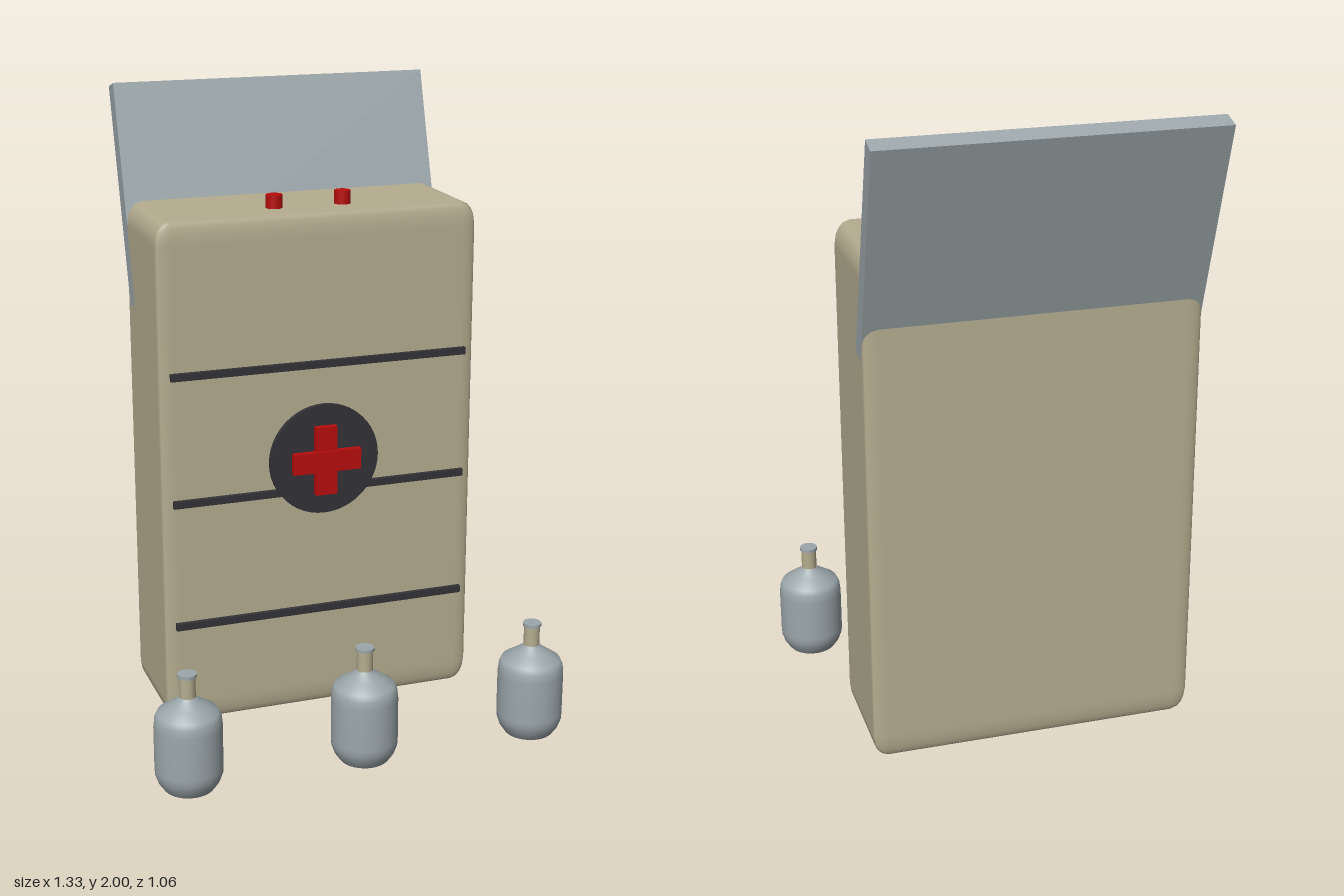
import * as THREE from 'three';
import { RoundedBoxGeometry } from 'three/addons/geometries/RoundedBoxGeometry.js';

const material = (name, color) => {
  const m = new THREE.MeshStandardMaterial({ color });
  m.name = name;
  return m;
};

export function createModel() {
  const canvas = material('khaki', 0xb5ad90);
  const steel = material('blueGrey', 0x9ca7ab);
  const dark = material('charcoal', 0x333338);
  const red = material('red', 0xb80d0d);

  const model = new THREE.Group();
  model.name = 'medicalPack';

  const add = (name, geometry, mat, x, y, z, parent = model) => {
    const mesh = new THREE.Mesh(geometry, mat);
    mesh.name = name;
    mesh.position.set(x, y, z);
    parent.add(mesh);
    return mesh;
  };
  const box = (w, h, d) => new THREE.BoxGeometry(w, h, d);

  // Pack body: a softened cube stretched to size
  const bodyShape = new RoundedBoxGeometry(1, 1, 1, 2, 0.046);
  bodyShape.scale(1.042, 1.643, 0.37);
  add('packBody', bodyShape, canvas, 0, 0.8245, -0.17);

  // Open lid leaning back
  const lid = add('lid', box(1.042, 0.7, 0.062), steel, 0, 1.657, -0.396);
  lid.rotation.x = -0.3;

  // Buttons on top
  for (const x of [-0.112, 0.112]) {
    add('button', new THREE.CylinderGeometry(0.026, 0.026, 0.05, 24), red, x, 1.663, -0.098);
  }

  // Straps across the front
  for (const y of [0.343, 0.755, 1.167]) {
    add('strap', box(0.974, 0.023, 0.015), dark, 0, y, 0.025);
  }

  // Round badge with a cross
  const disc = new THREE.CylinderGeometry(0.18, 0.18, 0.015, 48);
  disc.rotateX(Math.PI / 2);
  add('badgeDisc', disc, dark, 0, 0.863, 0.048);
  add('crossUpright', box(0.07, 0.224, 0.025), red, 0, 0.863, 0.066);
  add('crossBar', box(0.224, 0.068, 0.02), red, 0, 0.863, 0.076);

  // Bottles standing in front
  const profile = [
    [0, 0], [0.076, 0], [0.078, 0.002], [0.094, 0.025], [0.103, 0.05], [0.104, 0.07],
    [0.104, 0.205], [0.101, 0.232], [0.093, 0.25], [0.06, 0.272], [0.035, 0.289], [0.027, 0.3],
  ].map(([r, y]) => new THREE.Vector2(r, y));
  const glass = new THREE.LatheGeometry(profile, 32);
  const neck = new THREE.CylinderGeometry(0.025, 0.025, 0.08, 24);
  const cap = new THREE.CylinderGeometry(0.029, 0.029, 0.01, 24);
  for (const x of [-0.563, 0, 0.563]) {
    const bottle = new THREE.Group();
    bottle.name = 'bottle';
    bottle.position.set(x, 0.003, 0.427);
    add('bottleBody', glass, steel, 0, 0, 0, bottle);
    add('bottleNeck', neck, canvas, 0, 0.327, 0, bottle);
    add('bottleCap', cap, steel, 0, 0.368, 0, bottle);
    model.add(bottle);
  }

  return model;
}
